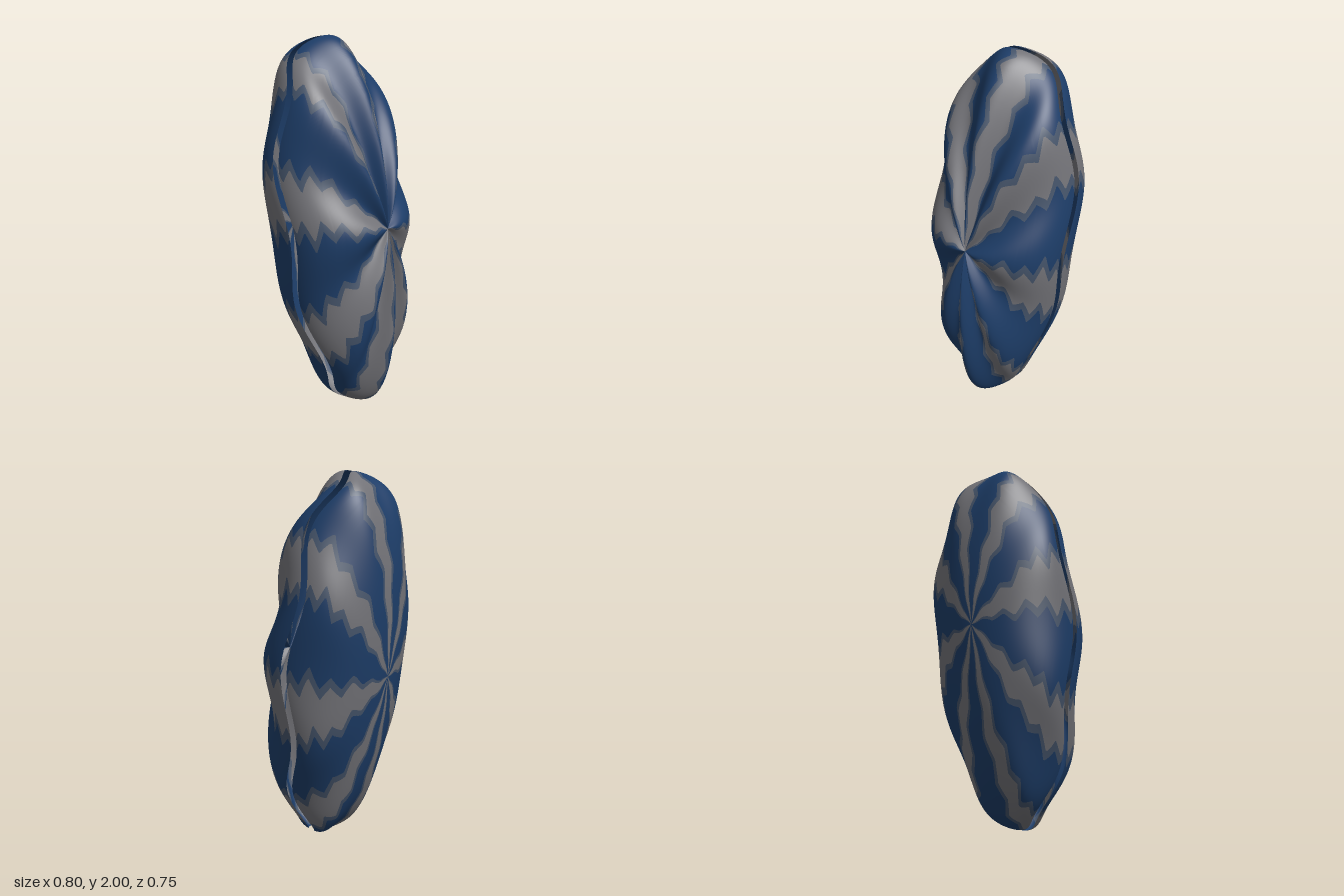
import * as THREE from 'three';

const RIBS = 8, PER = 24, ROWS = 64;       // ribs, columns per rib, rings from hub to rim
const COLS = RIBS * PER;
const HALF_W = 0.397, HALF_H = 1.004, DEPTH = 0.315, GAP = 0.02, WAVE = 0.034;

const COLORS = { Field: 0x1d3d68, Blend: 0x45546a, Stripe: 0x737378 };

const triangleWave = (v) => 4 * Math.abs(v - Math.floor(v + 0.5)) - 1;

// Zigzag wander of the colour stripes, as an angle that depends on the ring
const zigzag = (t) => 0.05 * triangleWave(t * 5.2) + 0.025 * triangleWave(t * 2.3 + 0.2);

// Which colour band a column of quads belongs to
function bandOf(col) {
  const d = Math.abs((col % PER) + 0.5 - PER / 2);
  return d < 4 ? 'Stripe' : d < 6 ? 'Blend' : 'Field';
}

// Point on a valve: t runs from the hub (0) to the rim (1), phi clockwise from the top
function valvePoint(side, t, phi) {
  const r = Math.sin(t * Math.PI / 2), dome = Math.cos(t * Math.PI / 2);
  const y = r * Math.cos(phi);
  const x = r * Math.sin(phi) * HALF_W * (1 + 0.15 * y);
  // the front valve is ribbed all over, the back one only ripples near its rim
  const ripple = side > 0 ? 1 - Math.exp(-6 * r) : r ** 5;
  const z = side * (GAP + DEPTH * dome) + WAVE * ripple * Math.cos(RIBS * phi) - 0.008;
  return [x, y * HALF_H, z];
}

function makeValve(name, side) {
  const positions = [], faces = { Field: [], Blend: [], Stripe: [] }, all = [];
  const stripeCentre = THREE.MathUtils.degToRad(12);
  for (let i = 0; i <= ROWS; i++) {
    const t = i / ROWS;
    for (let j = 0; j < COLS; j++) {
      const phi = ((j - PER / 2) / COLS) * Math.PI * 2 + stripeCentre + zigzag(t);
      positions.push(...valvePoint(side, t, phi));
    }
  }
  for (let i = 0; i < ROWS; i++) {
    for (let j = 0; j < COLS; j++) {
      const k = (j + 1) % COLS;
      const a = i * COLS + j, c = i * COLS + k, b = a + COLS, d = c + COLS;
      const quad = side > 0 ? [a, c, b, c, d, b] : [a, b, c, c, b, d];
      faces[bandOf(j)].push(...quad);
      all.push(...quad);
    }
  }
  // shared smooth normals over the whole valve
  const whole = new THREE.BufferGeometry();
  whole.setAttribute('position', new THREE.Float32BufferAttribute(positions, 3));
  whole.setIndex(all);
  whole.computeVertexNormals();

  const valve = new THREE.Group();
  valve.name = name;
  for (const band of Object.keys(faces)) {
    const geometry = new THREE.BufferGeometry();
    geometry.setAttribute('position', whole.getAttribute('position'));
    geometry.setAttribute('normal', whole.getAttribute('normal'));
    geometry.setIndex(faces[band]);
    const material = new THREE.MeshStandardMaterial({ color: COLORS[band], side: THREE.DoubleSide });
    const mesh = new THREE.Mesh(geometry, material);
    mesh.name = name + band;
    valve.add(mesh);
  }
  return valve;
}

export function createModel() {
  const model = new THREE.Group();
  model.name = 'shell';
  // the pair of valves leans back a little
  const body = new THREE.Group();
  body.name = 'valves';
  body.add(makeValve('frontValve', 1), makeValve('backValve', -1));
  body.rotation.x = -0.13;
  body.position.y = 1;
  model.add(body);
  return model;
}
